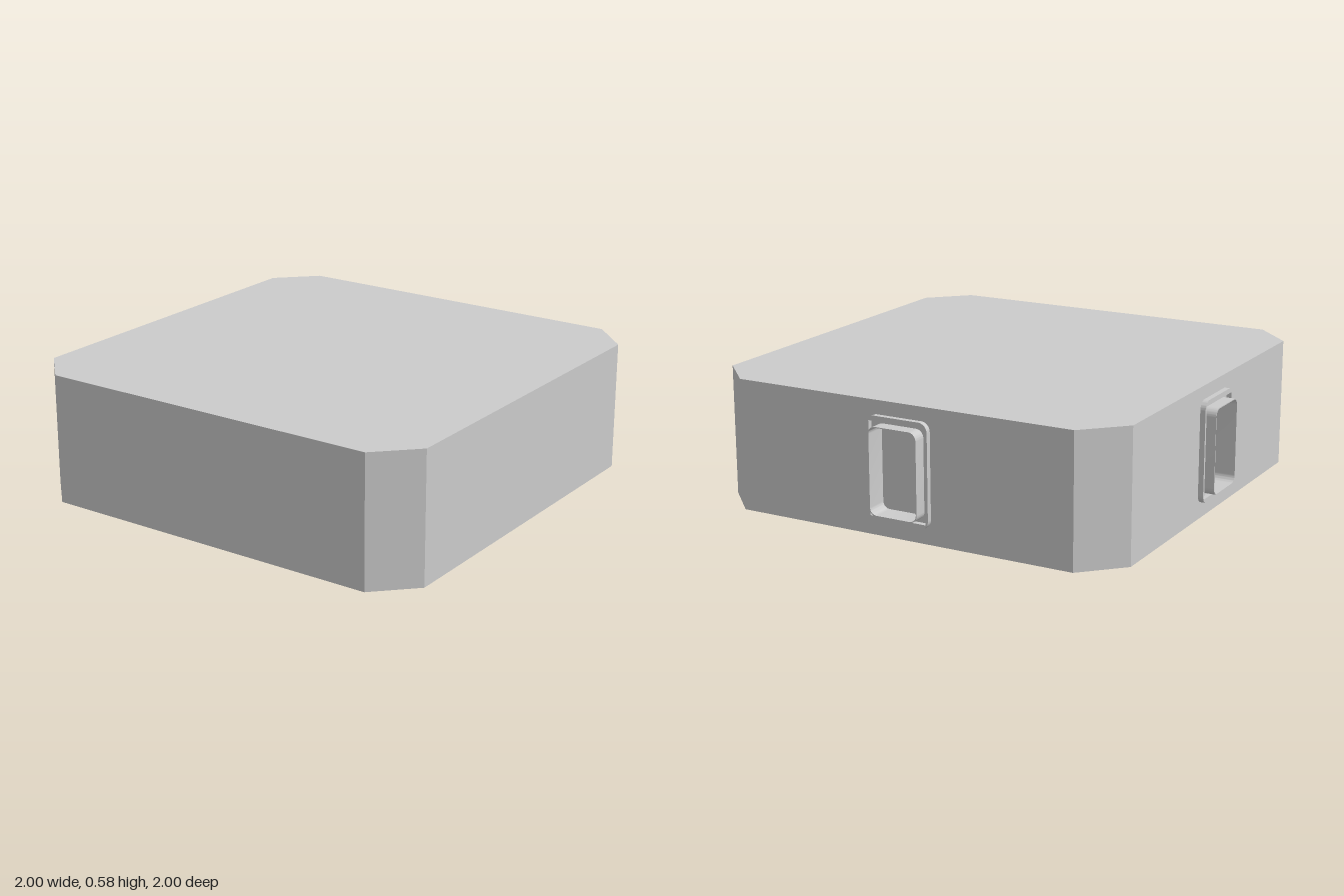
import * as THREE from 'three';
import { toCreasedNormals } from 'three/addons/utils/BufferGeometryUtils.js';

const material = new THREE.MeshStandardMaterial({ color: 0xcccccc });
const thin = new THREE.MeshStandardMaterial({ color: 0xcccccc, side: THREE.DoubleSide });
const HEIGHT = 0.585;

function mesh(name, geometry, mat = material) {
  const m = new THREE.Mesh(geometry, mat);
  m.name = name;
  return m;
}

// Rectangle centred on (0, cy); rounded corners when r > 0
function rect(w, h, r, cy = 0, Type = THREE.Shape) {
  const s = new Type(), x = w / 2, b = cy - h / 2, t = cy + h / 2;
  s.moveTo(-x + r, b).lineTo(x - r, b);
  if (r) s.absarc(x - r, b + r, r, -Math.PI / 2, 0);
  else s.lineTo(x, b);
  s.lineTo(x, t - r);
  if (r) s.absarc(x - r, t - r, r, 0, Math.PI / 2);
  else s.lineTo(x, t);
  s.lineTo(-x + r, t);
  if (r) s.absarc(-x + r, t - r, r, Math.PI / 2, Math.PI);
  else s.lineTo(-x, t);
  s.lineTo(-x, b + r);
  if (r) s.absarc(-x + r, b + r, r, Math.PI, Math.PI * 1.5);
  else s.lineTo(-x, b);
  return s;
}

function ring(outer, inner, z0, z1) {
  outer.holes.push(inner);
  const g = new THREE.ExtrudeGeometry(outer, { depth: z1 - z0, bevelEnabled: false, curveSegments: 6 });
  g.translate(0, 0, z0);
  return toCreasedNormals(g, 0.6);
}

// Socket facing +z: flat flange, protruding thin-walled sleeve and recessed floor
function socket() {
  const g = new THREE.Group();
  g.name = 'socket';
  g.add(mesh('flange', ring(rect(0.292, 0.455, 0.04), rect(0.268, 0.41, 0, 0, THREE.Path), 0, 0.024)));
  g.add(mesh('sleeve', ring(rect(0.23, 0.385, 0.035), rect(0.222, 0.377, 0.031, 0, THREE.Path), -0.04, 0.06)));
  const floor = new THREE.ShapeGeometry(rect(0.226, 0.381, 0.033), 6);
  floor.translate(0, 0, -0.04);
  g.add(mesh('socketFloor', floor, thin));
  return g;
}

export function createModel() {
  const model = new THREE.Group();
  model.name = 'box';

  // Square plan with cut corners, as [x, z], starting along the front
  const plan = [
    [-0.83, 1], [0.77, 1], [0.94, 0.83], [0.94, -0.77],
    [0.77, -0.94], [-0.83, -0.94], [-1, -0.77], [-1, 0.83],
  ];

  // Top and bottom
  for (const side of [1, -1]) {
    const shape = new THREE.Shape(plan.map(([x, z]) => new THREE.Vector2(x, -side * z)));
    const g = new THREE.ShapeGeometry(shape);
    g.rotateX(-side * Math.PI / 2);
    g.translate(0, side > 0 ? HEIGHT : 0, 0);
    model.add(mesh(side > 0 ? 'top' : 'bottom', g));
  }

  // Side walls; the left and back ones carry a socket at their middle
  plan.forEach(([x, z], i) => {
    const [nx, nz] = plan[(i + 1) % plan.length];
    const wall = new THREE.Group();
    wall.name = 'side' + (i + 1);
    wall.position.set((x + nx) / 2, HEIGHT / 2, (z + nz) / 2);
    wall.rotation.y = Math.atan2(z - nz, nx - x);
    const panel = rect(Math.hypot(nx - x, nz - z), HEIGHT, 0);
    if (i === 2 || i === 4) {
      panel.holes.push(rect(0.228, 0.383, 0.034, 0.004, THREE.Path));
      const s = socket();
      s.position.y = 0.004;
      wall.add(s);
    }
    wall.add(mesh('wall', new THREE.ShapeGeometry(panel, 6)));
    model.add(wall);
  });

  return model;
}
